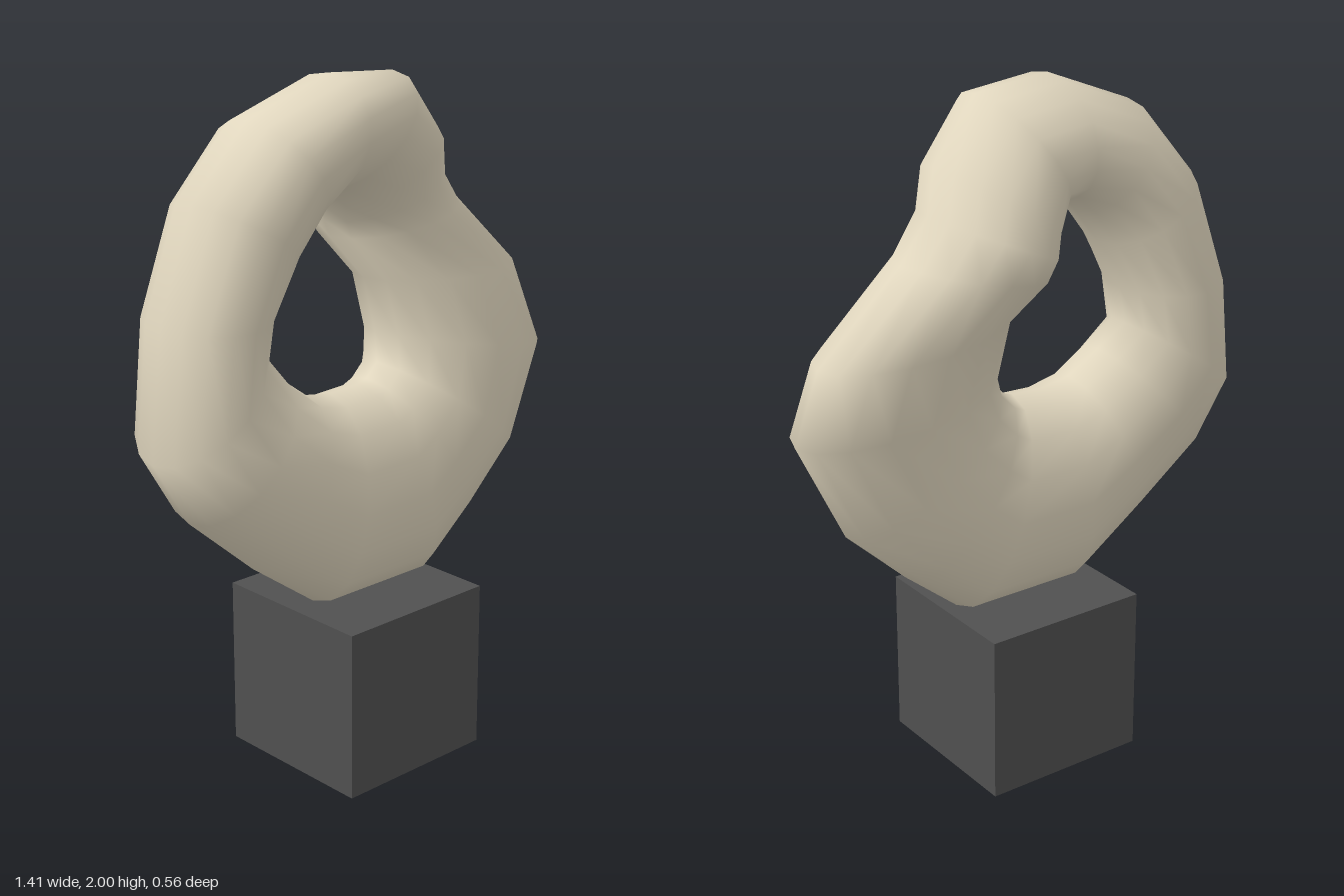
import * as THREE from 'three';

// Sections around the ring: outer x, outer y, inner x, inner y, centre z, half depth, tilt (outer rim forward)
const SECTIONS = [
  [-0.18, 0.50, -0.11, 1.105, 0.025, 0.195, 0],
  [-0.40, 0.66, -0.20, 1.12, 0.025, 0.195, 0],
  [-0.60, 0.84, -0.29, 1.19, 0.005, 0.20, 0],
  [-0.71, 1.03, -0.335, 1.28, -0.03, 0.20, 0.03],
  [-0.66, 1.38, -0.33, 1.38, -0.03, 0.20, 0.01],
  [-0.57, 1.70, -0.27, 1.52, 0.00, 0.20, 0.01],
  [-0.41, 1.90, -0.20, 1.62, 0.02, 0.20, 0.02],
  [-0.15, 2.00, -0.15, 1.67, 0.035, 0.195, 0.035],
  [0.11, 1.98, -0.10, 1.675, 0.01, 0.195, 0.03],
  [0.28, 1.82, -0.04, 1.61, -0.045, 0.20, 0.03],
  [0.32, 1.70, -0.01, 1.56, -0.075, 0.20, 0.03],
  [0.42, 1.59, 0.01, 1.51, -0.085, 0.19, 0.02],
  [0.68, 1.36, 0.06, 1.40, -0.045, 0.18, -0.025],
  [0.705, 1.12, 0.115, 1.23, -0.005, 0.185, 0.025],
  [0.56, 0.82, 0.07, 1.16, 0.025, 0.195, 0],
  [0.37, 0.64, 0.03, 1.12, 0.025, 0.195, 0],
  [0.20, 0.50, 0.00, 1.11, 0.025, 0.195, 0],
];
const SIDES = 16;

// Closed loop of tilted elliptical sections, joined with smooth normals
function ringGeometry() {
  const positions = [], indices = [];
  const count = SECTIONS.length;
  SECTIONS.forEach(([ox, oy, ix, iy, zc, hz, tilt], i) => {
    const next = (i + 1) % count;
    for (let j = 0; j < SIDES; j++) {
      const t = (j / SIDES) * Math.PI * 2;
      const k = (1 + Math.cos(t)) / 2; // 1 at the outer rim, 0 at the hole
      positions.push(
        ix + (ox - ix) * k,
        iy + (oy - iy) * k,
        zc + hz * Math.sin(t) + tilt * Math.cos(t)
      );
      const j2 = (j + 1) % SIDES;
      const a = i * SIDES + j, b = i * SIDES + j2;
      const c = next * SIDES + j, d = next * SIDES + j2;
      indices.push(a, b, c, b, d, c);
    }
  });
  const geometry = new THREE.BufferGeometry();
  geometry.setAttribute('position', new THREE.Float32BufferAttribute(positions, 3));
  geometry.setIndex(indices);
  geometry.computeVertexNormals();
  return geometry;
}

export function createModel() {
  const model = new THREE.Group();
  model.name = 'ringSculpture';

  // Irregular stone ring
  const ring = new THREE.Mesh(ringGeometry(), new THREE.MeshStandardMaterial({ color: 0xe0d6be }));
  ring.name = 'stoneRing';
  model.add(ring);

  // Cubic plinth, slightly off centre
  const plinth = new THREE.Mesh(
    new THREE.BoxGeometry(0.51, 0.5, 0.51),
    new THREE.MeshStandardMaterial({ color: 0x505050 })
  );
  plinth.name = 'plinth';
  plinth.position.set(-0.01, 0.25, 0.025);
  model.add(plinth);

  return model;
}
